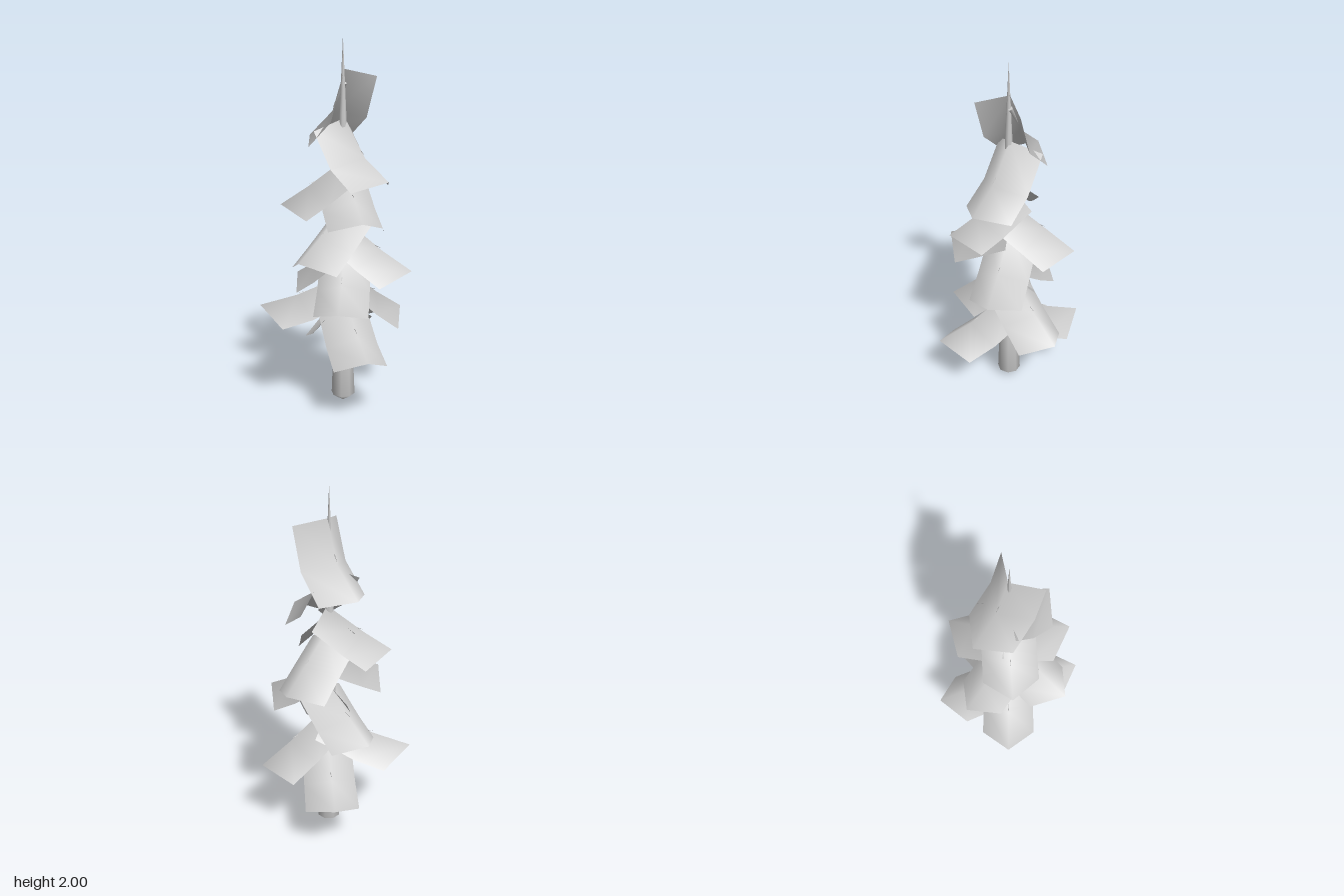
import * as THREE from 'three';

const grey = new THREE.MeshStandardMaterial({ color: 0xcccccc });
const thin = new THREE.MeshStandardMaterial({ color: 0xcccccc, side: THREE.DoubleSide });

// Each bough: x, y, z of the ridge tip, then the drop of its inner and outer half
const BOUGHS = [
  [0.13, 0.365, -0.4, 0.15, 0.075], [-0.135, 0.385, 0.4, 0.16, 0.075],
  [0.385, 0.48, 0.005, 0.175, 0.115], [-0.385, 0.565, -0.25, 0.11, 0.055],
  [-0.21, 0.61, 0.24, 0.19, 0.11], [-0.09, 0.68, -0.335, 0.145, 0.095],
  [0.205, 0.795, 0.32, 0.15, 0.095], [-0.37, 0.885, 0.125, 0.13, 0.095],
  [0.305, 0.99, -0.185, 0.13, 0.105], [-0.11, 1.09, 0.315, 0.14, 0.09],
  [-0.295, 1.13, -0.165, 0.14, 0.095], [0.065, 1.28, 0.295, 0.195, 0.105],
  [-0.06, 1.47, -0.24, 0.22, 0.14],
];

// Ridge of a bough: steep near the trunk, flatter towards the tip
function ridgeOf(reach, tipY, innerDrop, outerDrop) {
  const bend = reach * Math.min(0.56, 0.33 + (reach - 0.245) * 2.5);
  const bendY = tipY + outerDrop;
  return [[0, bendY + innerDrop], [bend, bendY], [reach, tipY]];
}

// Folded card: both sides hang down and sweep back from the ridge
function foliage(ridge, reach) {
  const pitch = Math.atan2(ridge[0][1] - ridge[1][1], ridge[1][0]);
  const rootBack = 0.11 * Math.sin(pitch), rootDown = 0.11 * Math.cos(pitch);
  const tipBack = 0.125, tipDown = 0.04 + (reach - 0.25) * 0.24;
  const pos = [], index = [];
  ridge.forEach(([r, y], i) => {
    const back = THREE.MathUtils.lerp(rootBack, tipBack, i / 2);
    const down = THREE.MathUtils.lerp(rootDown, tipDown, i / 2);
    for (const s of [-1, 0, 1]) {
      pos.push(r - back * Math.abs(s), y - down * Math.abs(s), s * (0.138 + 0.004 * i));
    }
  });
  for (let i = 0; i < 2; i++) {
    for (let j = 0; j < 2; j++) {
      const a = i * 3 + j;
      index.push(a, a + 1, a + 3, a + 1, a + 4, a + 3);
    }
  }
  const geo = new THREE.BufferGeometry();
  geo.setAttribute('position', new THREE.Float32BufferAttribute(pos, 3));
  geo.setIndex(index);
  geo.computeVertexNormals();
  return new THREE.Mesh(geo, thin);
}

// Thin twig from the trunk that just pierces the bend of the foliage
function twig(ridge) {
  const from = new THREE.Vector3(0, ridge[0][1] - 0.07, 0);
  const to = new THREE.Vector3(ridge[1][0], ridge[1][1] + 0.012, 0);
  const dir = to.clone().sub(from);
  const mesh = new THREE.Mesh(new THREE.ConeGeometry(0.014, dir.length(), 5), grey);
  mesh.position.copy(from).add(to).multiplyScalar(0.5);
  mesh.quaternion.setFromUnitVectors(new THREE.Vector3(0, 1, 0), dir.normalize());
  return mesh;
}

export function createModel() {
  const tree = new THREE.Group();
  tree.name = 'coniferTree';

  // Tapering trunk with a blunt pointed foot and a needle top
  const profile = [[0, 0], [0.065, 0.045], [0.055, 0.3], [0.043, 0.7],
    [0.03, 1.2], [0.018, 1.6], [0, 2]].map(([r, y]) => new THREE.Vector2(r, y));
  const trunk = new THREE.Mesh(new THREE.LatheGeometry(profile, 8), grey);
  trunk.name = 'trunk';
  trunk.position.x = -0.01;
  tree.add(trunk);

  // Boughs placed around the trunk
  BOUGHS.forEach(([x, y, z, innerDrop, outerDrop], i) => {
    const reach = Math.hypot(x, z);
    const ridge = ridgeOf(reach, y, innerDrop, outerDrop);
    const bough = new THREE.Group();
    bough.name = `bough${i + 1}`;
    const card = foliage(ridge, reach);
    card.name = 'foliage';
    const stem = twig(ridge);
    stem.name = 'twig';
    bough.add(card, stem);
    bough.rotation.y = -Math.atan2(z, x);
    tree.add(bough);
  });
  return tree;
}
